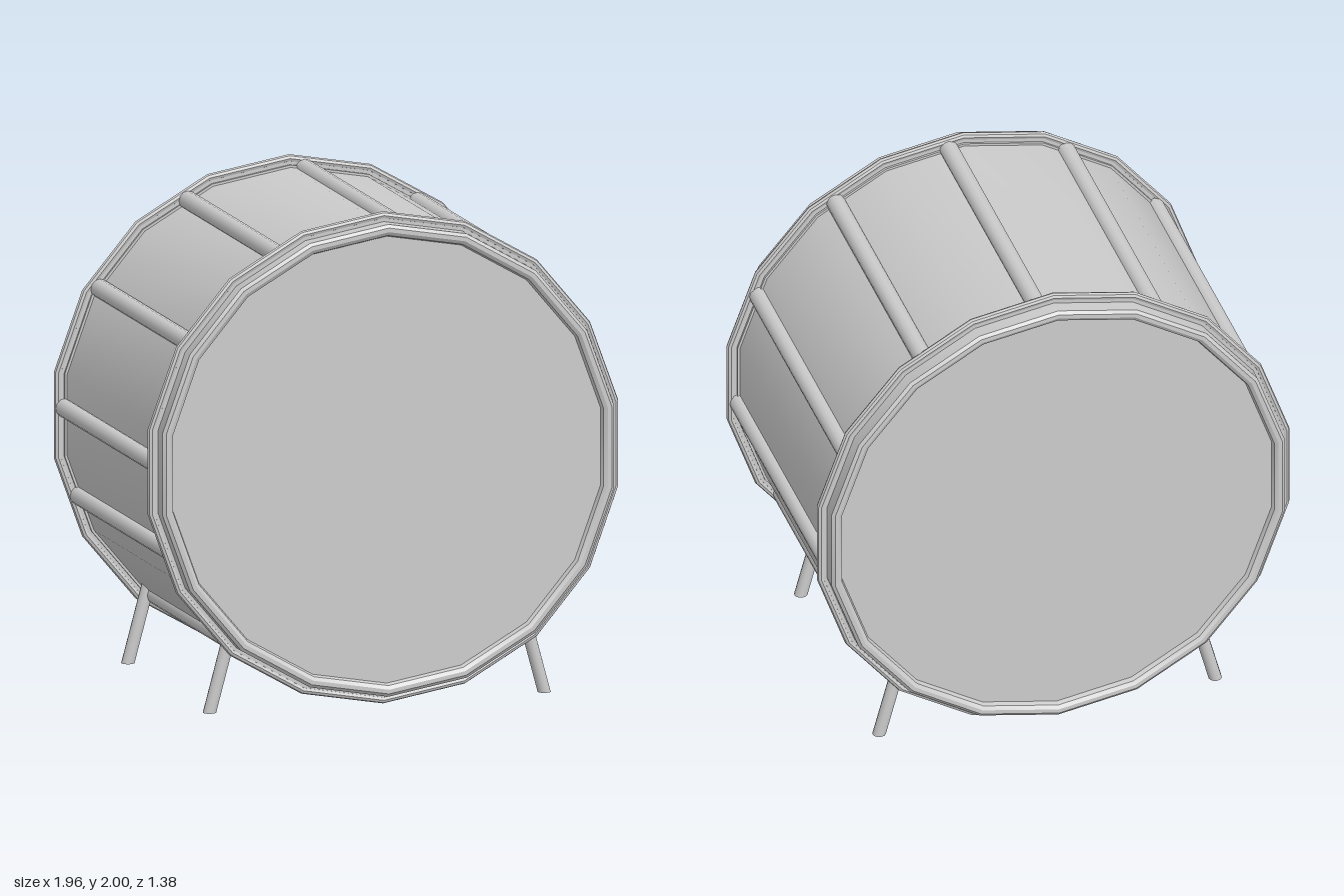
import * as THREE from 'three';
import { toCreasedNormals } from 'three/addons/utils/BufferGeometryUtils.js';

const SIDES = 18;
const CENTER_Y = 1.005;
const material = new THREE.MeshStandardMaterial({ color: 0xcccccc });
const thinMaterial = new THREE.MeshStandardMaterial({ color: 0xcccccc, side: THREE.DoubleSide });

function add(parent, name, geometry, mat = material) {
  const mesh = new THREE.Mesh(geometry, mat);
  mesh.name = name;
  parent.add(mesh);
  return mesh;
}

// Turns a profile of [radius, z] points around the z axis
function ring(profile) {
  const points = profile.map(([r, z]) => new THREE.Vector2(r, z));
  const geometry = new THREE.LatheGeometry(points, SIDES).rotateX(Math.PI / 2);
  return toCreasedNormals(geometry, 0.5);
}

export function createModel() {
  const model = new THREE.Group();
  model.name = 'drum';

  const body = new THREE.Group();
  body.name = 'body';
  body.position.y = CENTER_Y;
  model.add(body);

  // Shell between the two hoops
  add(body, 'shell', ring([[0.945, -0.61], [0.945, 0.61]]), thinMaterial);

  // Hoop, flange and head at each end
  for (const [end, turn] of [['front', 0], ['back', Math.PI]]) {
    const cap = new THREE.Group();
    cap.name = end + 'End';
    cap.rotation.y = turn;
    body.add(cap);

    add(cap, end + 'Hoop', ring([
      [0.955, 0.59], [0.955, 0.68], [0.942, 0.69], [0.925, 0.69],
      [0.91, 0.68], [0.897, 0.64], [0.897, 0.59], [0.955, 0.59],
    ]));
    const flange = [];
    for (let i = 0; i <= 8; i++) {
      const a = (i / 8) * Math.PI * 2;
      flange.push([0.98 + 0.015 * Math.cos(a), 0.61 + 0.015 * Math.sin(a)]);
    }
    flange[8] = flange[0];
    add(cap, end + 'Flange', ring(flange));
    // Fills the step between flange and shell
    add(cap, end + 'FlangeWeb', ring([
      [0.975, 0.6], [0.975, 0.62], [0.94, 0.62], [0.94, 0.6], [0.975, 0.6],
    ]));
    const head = add(cap, end + 'Head', new THREE.CircleGeometry(0.905, SIDES, Math.PI / 2));
    head.position.z = 0.66;
  }

  // Tension rods along the shell
  const rodGeometry = new THREE.CylinderGeometry(0.038, 0.038, 1.2, 12).rotateX(Math.PI / 2);
  for (let i = 0; i < 12; i++) {
    const a = THREE.MathUtils.degToRad(178.3 - i * 30.7);
    const rod = add(body, 'tensionRod', rodGeometry);
    rod.position.set(0.938 * Math.cos(a), 0.938 * Math.sin(a), 0);
  }

  // Splayed legs, sheared so that the feet stay flat on the floor
  for (const side of [-1, 1]) {
    const geometry = new THREE.CylinderGeometry(0.027, 0.027, 0.36, 12).translate(0, 0.18, 0);
    const shear = new THREE.Matrix4().makeShear(0, 0, -0.27 * side, 0, 0, 0);
    geometry.applyMatrix4(shear);
    for (const z of [-0.53, 0.53]) {
      const leg = add(model, 'leg', geometry);
      leg.position.set(side * 0.697, 0, z);
    }
  }
  return model;
}
